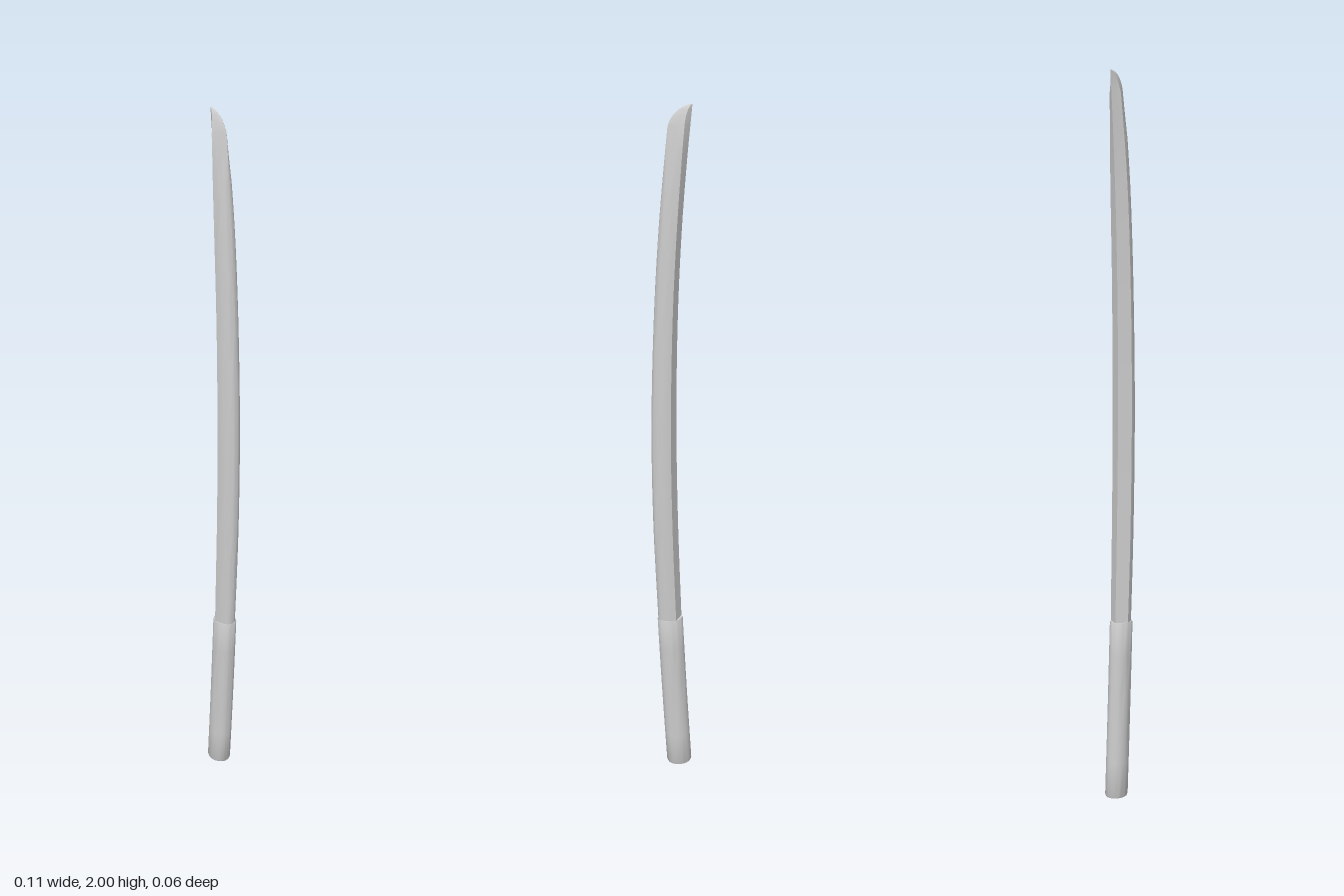
import * as THREE from 'three';
import { toCreasedNormals } from 'three/addons/utils/BufferGeometryUtils.js';

const material = new THREE.MeshStandardMaterial({ color: 0xcccccc });

// Smooth curve through [y, value] pairs, looked up by y
function profile(pairs) {
  const pts = pairs.map(([y, v]) => new THREE.Vector2(y, v));
  const samples = new THREE.SplineCurve(pts).getPoints(200);
  return (y) => {
    if (y <= samples[0].x) return samples[0].y;
    for (let i = 1; i < samples.length; i++) {
      const a = samples[i - 1], b = samples[i];
      if (y <= b.x) return a.y + ((b.y - a.y) * (y - a.x)) / (b.x - a.x);
    }
    return samples[samples.length - 1].y;
  };
}

// Closed skin over rings of [x, y, z] points, capped at both ends
function loft(name, rings, crease) {
  const n = rings[0].length;
  const positions = rings.flat(2);
  const index = [];
  for (let i = 0; i < rings.length - 1; i++) {
    for (let j = 0; j < n; j++) {
      const k = (j + 1) % n;
      const a = i * n + j, b = i * n + k;
      index.push(a, a + n, b, b, a + n, b + n);
    }
  }
  const last = (rings.length - 1) * n;
  for (let j = 1; j < n - 1; j++) {
    index.push(0, j, j + 1, last, last + j + 1, last + j);
  }
  const geometry = new THREE.BufferGeometry();
  geometry.setAttribute('position', new THREE.Float32BufferAttribute(positions, 3));
  geometry.setIndex(index);
  const mesh = new THREE.Mesh(toCreasedNormals(geometry, crease), material);
  mesh.name = name;
  return mesh;
}

// Oval grip that follows the start of the curve
function createHandle() {
  const centre = profile([[0, -0.022], [0.25, -0.007], [0.5, 0.006]]);
  const levels = [[0, 0.93], [0.006, 1], [0.1, 1], [0.2, 1], [0.3, 1], [0.4, 1], [0.492, 1], [0.497, 0.95]];
  const sides = 24;
  const rings = levels.map(([y, s]) =>
    Array.from({ length: sides }, (_, j) => {
      const a = (j / sides) * Math.PI * 2;
      return [centre(y) + Math.cos(a) * 0.036 * s, y, Math.sin(a) * 0.03 * s];
    })
  );
  return loft('handle', rings, 0.6);
}

// Curved blade: peaked spine on -x, side ridges, rounded edge on +x
function createBlade() {
  const tipStart = 1.94, top = 2;
  const spine = profile([[0.48, -0.028], [0.8, -0.017], [1.1, -0.012], [1.4, -0.015], [1.65, -0.025], [1.85, -0.039], [2, -0.053]]);
  const edge = profile([[0.48, 0.039], [0.8, 0.053], [1.1, 0.057], [1.4, 0.05], [1.65, 0.037], [1.85, 0.021], [1.94, 0.013], [2, 0.007]]);
  const thickness = profile([[0.48, 0.027], [0.7, 0.029], [1.1, 0.03], [1.4, 0.029], [1.65, 0.027], [1.8, 0.023], [1.94, 0.017], [2, 0.015]]);
  const ridge = 0.34, steps = 9;

  const levels = [];
  for (let i = 0; i < 24; i++) levels.push(0.48 + ((tipStart - 0.48) * i) / 24);
  for (let i = 0; i <= 10; i++) levels.push(tipStart + (top - tipStart) * Math.sin((i / 10) * Math.PI * 0.497));

  const rings = levels.map((y) => {
    const t = Math.max(0, (y - tipStart) / (top - tipStart));
    const width = (edge(y) - spine(y)) * Math.sqrt(1 - t * t);
    const half = thickness(y) * Math.pow(1 - t, 0.55);
    // the rounded edge sharpens towards the point
    const sharp = 0.75 * THREE.MathUtils.smoothstep(y, 1.82, tipStart);
    const side = [];
    for (let j = 0; j <= steps; j++) {
      const a = (j / steps) * Math.PI / 2;
      const u = Math.cos(a);
      const z = THREE.MathUtils.lerp(Math.sin(a), 1 - u, sharp);
      side.push([spine(y) + width * (ridge + (1 - ridge) * u), y, half * z]);
    }
    const mirrored = side.slice(1).reverse().map(([x, h, z]) => [x, h, -z]);
    return [...side, [spine(y), y, 0], ...mirrored];
  });
  return loft('blade', rings, 0.5);
}

export function createModel() {
  const group = new THREE.Group();
  group.name = 'woodenSword';
  group.add(createHandle(), createBlade());
  return group;
}
